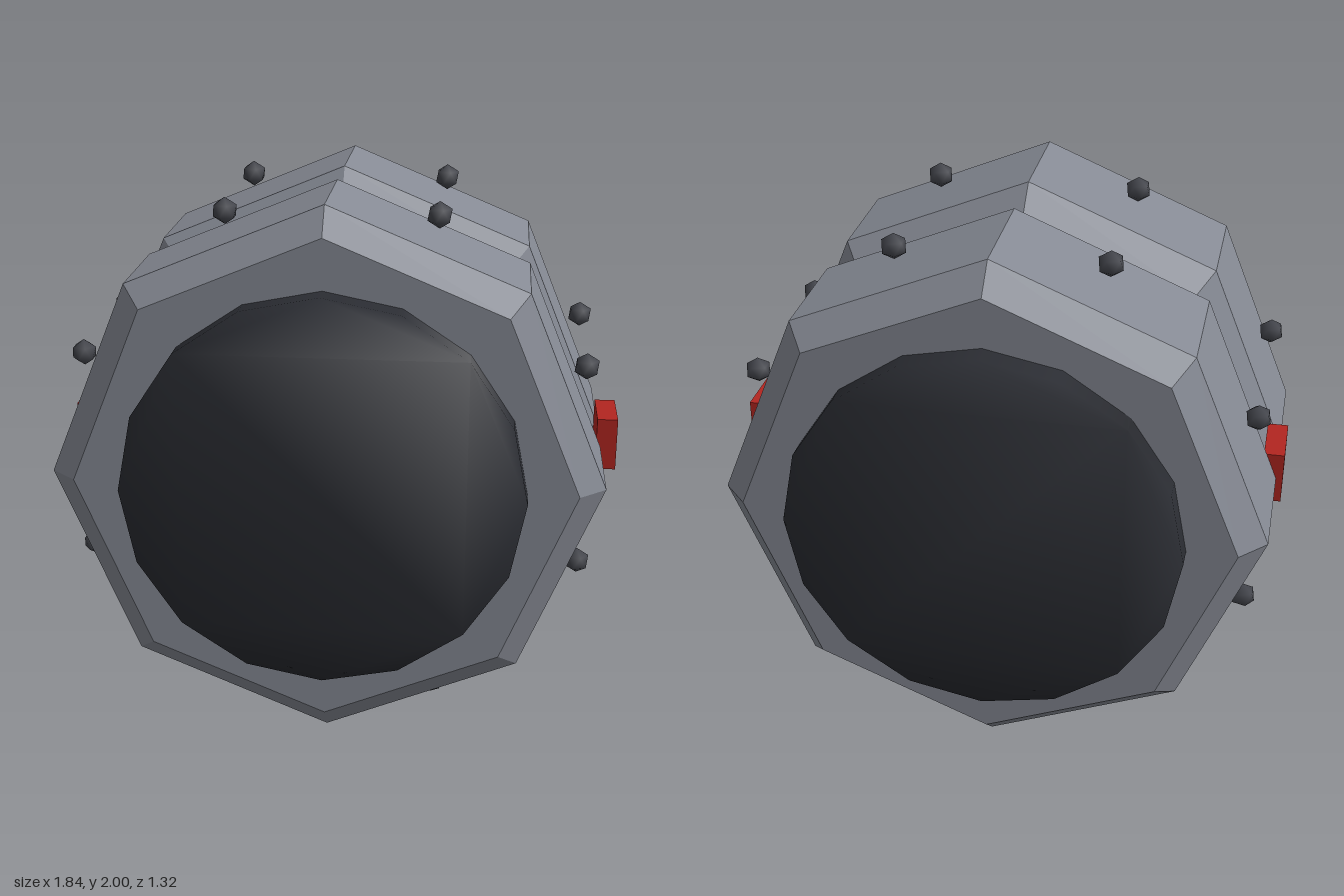
import * as THREE from 'three';
import { mergeVertices } from 'three/addons/utils/BufferGeometryUtils.js';

const CX = -0.02, CY = 1.12;

const steel = new THREE.MeshStandardMaterial({ color: 0x868a94, flatShading: true });
const dark = new THREE.MeshStandardMaterial({ color: 0x2b2d33 });
const boltGrey = new THREE.MeshStandardMaterial({ color: 0x44464d });
const red = new THREE.MeshStandardMaterial({ color: 0xb32620 });

// Share every corner so the normals run smoothly over all edges
function smooth(geometry) {
  geometry.deleteAttribute('normal');
  geometry.deleteAttribute('uv');
  const merged = mergeVertices(geometry, 1e-4);
  merged.computeVertexNormals();
  return merged;
}

// Low-poly ball with one corner pointing straight up
function ball(radius, detail) {
  const g = new THREE.IcosahedronGeometry(radius, detail);
  g.rotateZ(-Math.atan(2 / (1 + Math.sqrt(5))));
  return smooth(g);
}

export function createModel() {
  const model = new THREE.Group();
  const add = (name, geometry, material, x, y, z) => {
    const mesh = new THREE.Mesh(geometry, material);
    mesh.name = name;
    mesh.position.set(x, y, z);
    model.add(mesh);
    return mesh;
  };

  // Octagonal casings with chamfered rims: [z start, chamfer end, chamfer start, z end]
  const casings = {
    frontCasing: [0.027, 0.125, 0.51, 0.586],
    backCasing: [-0.59, -0.50, -0.105, -0.03],
  };
  for (const [name, [z0, z1, z2, z3]] of Object.entries(casings)) {
    const profile = [[0, z0], [0.795, z0], [0.88, z1], [0.88, z2], [0.795, z3], [0, z3]]
      .map(([r, z]) => new THREE.Vector2(r, z));
    const g = new THREE.LatheGeometry(profile, 8);
    g.rotateX(Math.PI / 2);
    add(name, g, steel, CX, CY, 0);
  }

  // Sixteen-sided core running through both casings
  const corners = Array.from({ length: 16 }, (_, i) => {
    const a = (i / 16) * Math.PI * 2;
    return new THREE.Vector2(0.635 * Math.cos(a), 0.635 * Math.sin(a));
  });
  const core = new THREE.ExtrudeGeometry(new THREE.Shape(corners), { depth: 1.324, bevelEnabled: false });
  core.translate(0, 0, -0.662);
  add('core', smooth(core), dark, CX, CY, 0);

  // Bolts hovering over the middle of every casing side
  const boltGeometry = ball(0.043, 0);
  for (const z of [0.305, -0.308]) {
    for (let i = 0; i < 8; i++) {
      const a = ((i + 0.5) / 8) * Math.PI * 2;
      add('bolt', boltGeometry, boltGrey, CX + 0.878 * Math.cos(a), CY + 0.878 * Math.sin(a), z);
    }
  }

  // Red side blocks bridging the gap
  const blockGeometry = new THREE.BoxGeometry(0.068, 0.176, 0.206);
  add('leftBlock', blockGeometry, red, 0.882, CY, 0);
  add('rightBlock', blockGeometry, red, -0.888, CY, 0);

  // Nozzle below, with its red tip
  add('nozzle', smooth(new THREE.CylinderGeometry(0.155, 0.122, 0.31, 16)), dark, CX, 0.255, 0);
  add('nozzleTip', ball(0.095, 1), red, CX, 0.095, 0);

  return model;
}
